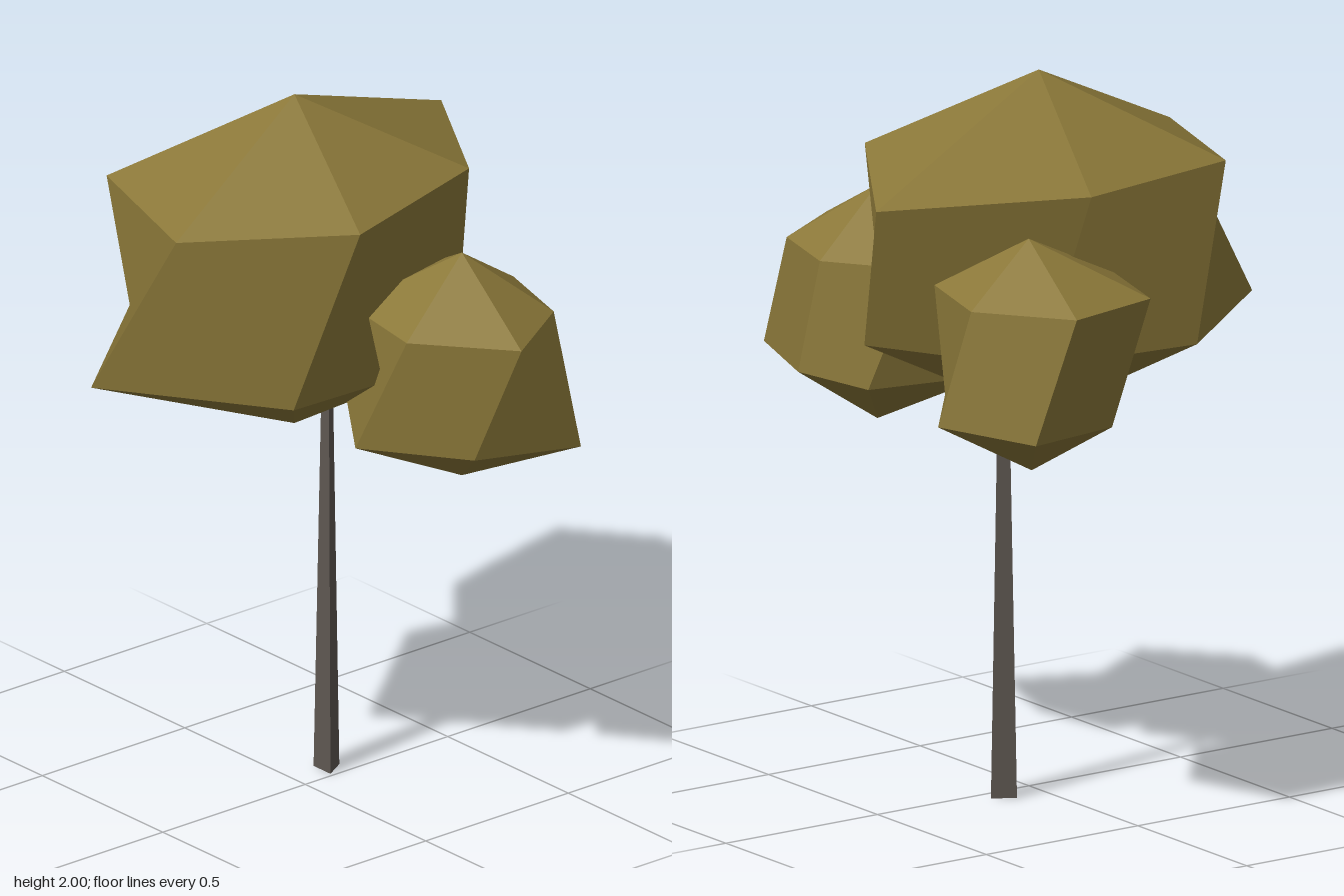
import * as THREE from 'three';

const foliage = new THREE.MeshStandardMaterial({ color: 0x8b7839 });
foliage.name = 'olive foliage';
const bark = new THREE.MeshStandardMaterial({ color: 0x5e5751, flatShading: true });
bark.name = 'grey bark';

// Faceted clump: top point, upper ring, lower ring, bottom point.
// Rings run from +z towards +x, then -z, then -x.
function clump(name, topPoint, upperRing, lowerRing, bottomPoint) {
  const vec = (p) => new THREE.Vector3(...p);
  const top = vec(topPoint);
  const bottom = vec(bottomPoint);
  const upper = upperRing.map(vec);
  const lower = lowerRing.map(vec);
  const positions = [];
  const normals = [];

  // Each facet gets one normal, taken from two directions lying across it
  const facet = (corners, from1, to1, from2, to2) => {
    const normal = to1.clone().sub(from1).cross(to2.clone().sub(from2)).normalize();
    for (const c of corners) {
      positions.push(c.x, c.y, c.z);
      normals.push(normal.x, normal.y, normal.z);
    }
  };
  const tri = (a, b, c) => facet([a, b, c], a, b, a, c);

  upper.forEach((a, i) => {
    const j = (i + 1) % upper.length;
    const b = lower[i];
    const c = lower[j];
    const d = upper[j];
    tri(top, a, d);
    facet([a, b, d, b, c, d], a, c, b, d);
    tri(bottom, c, b);
  });

  const geometry = new THREE.BufferGeometry();
  geometry.setAttribute('position', new THREE.Float32BufferAttribute(positions, 3));
  geometry.setAttribute('normal', new THREE.Float32BufferAttribute(normals, 3));
  const mesh = new THREE.Mesh(geometry, foliage);
  mesh.name = name;
  return mesh;
}

// Level ring from [x, z] pairs
const ring = (y, points) => points.map(([x, z]) => [x, y, z]);

export function createModel() {
  const tree = new THREE.Group();
  tree.name = 'tree';

  // Slim three-sided trunk, one flat side to the front, reaching into the crown
  const trunk = new THREE.Mesh(new THREE.CylinderGeometry(0.016, 0.0405, 1.22, 3, 1, false, Math.PI), bark);
  trunk.name = 'trunk';
  trunk.position.set(-0.046, 0.61, -0.118);
  tree.add(trunk);

  // Large central clump
  tree.add(clump('mainCrown', [-0.045, 2, 0],
    [[0.085, 1.755, 0.525], [0.37, 1.76, 0.12], [0.26, 1.785, -0.355],
      [-0.21, 1.745, -0.655], [-0.44, 1.75, -0.11], [-0.375, 1.76, 0.38]],
    [[-0.12, 1.3, 0.65], [0.295, 1.27, 0.29], [0.325, 1.275, -0.25],
      [0.06, 1.29, -0.5], [-0.4, 1.29, -0.25], [-0.48, 1.3, 0.21]],
    [-0.045, 1.04, 0]));

  // Small clump on the +x side
  tree.add(clump('leftClump', [0.39, 1.62, -0.22],
    ring(1.46, [[0.48, 0.05], [0.72, -0.15], [0.57, -0.39], [0.32, -0.46], [0.1, -0.3], [0.18, 0]]),
    ring(1.13, [[0.35, 0.12], [0.62, -0.07], [0.73, -0.35], [0.42, -0.46], [0.16, -0.415], [0.09, -0.07]]),
    [0.39, 0.97, -0.22]));

  // Small clump on the -x side
  tree.add(clump('rightClump', [-0.43, 1.665, -0.31],
    ring(1.515, [[-0.38, 0], [-0.15, -0.18], [-0.22, -0.47], [-0.5, -0.55], [-0.735, -0.37], [-0.67, -0.08]]),
    ring(1.175, [[-0.42, 0], [-0.2, -0.1], [-0.13, -0.37], [-0.39, -0.58], [-0.7, -0.48], [-0.66, -0.2]]),
    [-0.43, 1.02, -0.3]));

  return tree;
}
